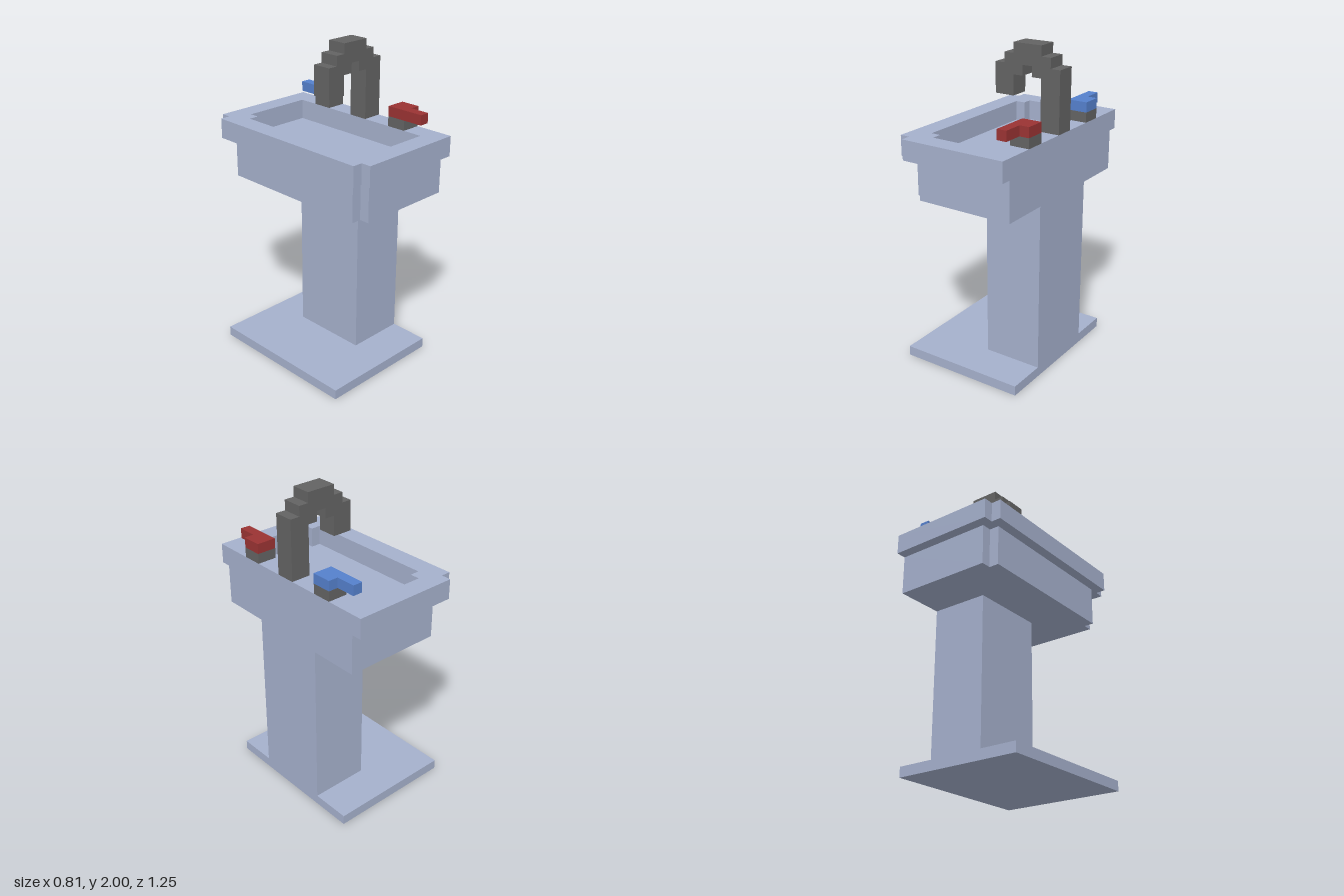
import * as THREE from 'three';

// All sizes are in blocks; one block is 1/16 unit. x runs 0 (bowl side) to 13 (wall side).
const U = 1 / 16;
const X0 = 6.5;

function material(name, color) {
  const m = new THREE.MeshStandardMaterial({ color });
  m.name = name;
  return m;
}

export function createModel() {
  const porcelain = material('porcelain', 0xa5b0cc);
  const metal = material('dark metal', 0x636363);
  const red = material('hot red', 0x9a3333);
  const blue = material('cold blue', 0x5580cc);

  const model = new THREE.Group();
  model.name = 'pedestalSink';

  function add(parent, name, geometry, mat) {
    const mesh = new THREE.Mesh(geometry, mat);
    mesh.name = name;
    parent.add(mesh);
    return mesh;
  }

  // Box given by its block limits
  function block(parent, name, mat, [x0, x1], [y0, y1], [z0, z1]) {
    const g = new THREE.BoxGeometry((x1 - x0) * U, (y1 - y0) * U, (z1 - z0) * U);
    g.translate(((x0 + x1) / 2 - X0) * U, (y0 + y1) / 2 * U, (z0 + z1) / 2 * U);
    return add(parent, name, g, mat);
  }

  const toPoints = (list) => list.map(([a, b]) => new THREE.Vector2((a - X0) * U, b * U));

  // Plan outline with its two front corners notched by one block
  function notched(x0, x1, half) {
    const side = [[x1, half], [x0 + 1, half], [x0 + 1, half - 1], [x0, half - 1]];
    const other = side.map(([x, z]) => [x, -z]).reverse();
    return toPoints([...side, ...other]);
  }

  // Flat slab from a plan outline, optionally with an opening
  function slab(name, outline, hole, y0, y1) {
    const shape = new THREE.Shape(outline);
    if (hole) shape.holes.push(new THREE.Path(hole));
    const g = new THREE.ExtrudeGeometry(shape, { depth: (y1 - y0) * U, bevelEnabled: false });
    g.rotateX(-Math.PI / 2);
    g.translate(0, y0 * U, 0);
    return add(model, name, g, porcelain);
  }

  // Pedestal
  block(model, 'base', porcelain, [0, 13], [0, 1], [-8, 8]);
  block(model, 'column', porcelain, [7, 13], [1, 18], [-4, 4]);

  // Basin: the top of the lower slab is the floor of the bowl
  slab('basin', notched(2, 13, 9), null, 18, 22);
  slab('rim', notched(1, 13, 10), notched(3, 11, 8), 22, 24);

  // Stepped faucet arch, seen from the side
  const arch = new THREE.Shape(toPoints([
    [13, 24], [13, 30], [12, 30], [12, 31], [11, 31], [11, 32], [8, 32], [8, 31],
    [7, 31], [7, 30], [6, 30], [6, 27], [8, 27], [8, 29], [9, 29], [9, 30],
    [10, 30], [10, 29], [11, 29], [11, 24],
  ]));
  const faucet = new THREE.ExtrudeGeometry(arch, { depth: 2 * U, bevelEnabled: false });
  faucet.translate(0, 0, -U);
  add(model, 'faucet', faucet, metal);

  // Taps, mirrored across the faucet
  for (const [name, mat, s] of [['hotTap', red, 1], ['coldTap', blue, -1]]) {
    const tap = new THREE.Group();
    tap.name = name;
    const span = (a, b) => (s > 0 ? [a, b] : [-b, -a]);
    block(tap, 'stem', metal, [11, 13], [24, 25], span(4, 6));
    block(tap, 'knob', mat, [11, 13], [25, 26], span(4, 6));
    block(tap, 'lever', mat, [11, 12], [25, 26], span(6, 8));
    model.add(tap);
  }

  return model;
}
